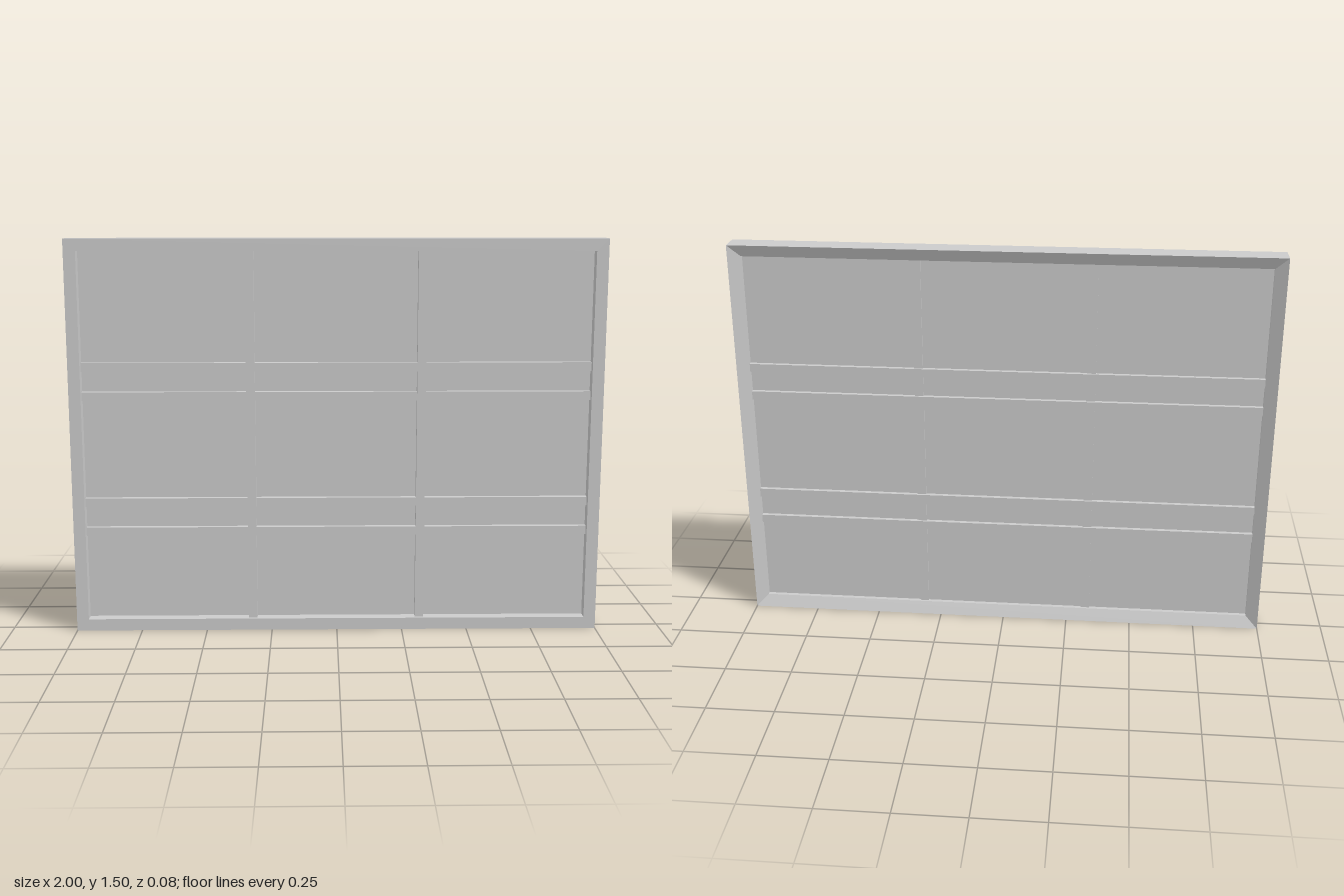
import * as THREE from 'three';

const W = 2, H = 1.495, RIM = 0.045, HALF_DEPTH = 0.042;

// Mitred rectangular frame: a closed [inset, z] profile swept round four corners
function mitredFrame(profile) {
  const corners = [[-1, 0], [1, 0], [1, 1], [-1, 1]];
  const point = (c, p) => {
    const [sx, top] = corners[c % 4];
    const [inset, z] = profile[p % profile.length];
    return [sx * (W / 2 - inset), top ? H - inset : inset, z];
  };
  const positions = [];
  for (let c = 0; c < 4; c++) {
    for (let p = 0; p < profile.length; p++) {
      const a = point(c, p), b = point(c + 1, p);
      const d = point(c, p + 1), e = point(c + 1, p + 1);
      positions.push(...a, ...d, ...e, ...a, ...e, ...b);
    }
  }
  const geometry = new THREE.BufferGeometry();
  geometry.setAttribute('position', new THREE.Float32BufferAttribute(positions, 3));
  geometry.computeVertexNormals();
  return geometry;
}

export function createModel() {
  const group = new THREE.Group();
  const material = new THREE.MeshStandardMaterial({ color: 0xcccccc, flatShading: true });

  const add = (name, geometry) => {
    const mesh = new THREE.Mesh(geometry, material);
    mesh.name = name;
    group.add(mesh);
    return mesh;
  };
  // Box given by its limits on each axis
  const addBox = (name, [x0, x1], [y0, y1], [z0, z1]) =>
    add(name, new THREE.BoxGeometry(x1 - x0, y1 - y0, z1 - z0))
      .position.set((x0 + x1) / 2, (y0 + y1) / 2, (z0 + z1) / 2);

  // Outer frame, square at the front and sloping inward at the back
  add('frame', mitredFrame([
    [0, HALF_DEPTH], [0, -HALF_DEPTH], [RIM, -0.021], [RIM, HALF_DEPTH],
  ]));

  const innerX = [-W / 2 + RIM, W / 2 - RIM];
  const innerY = [RIM, H - RIM];

  // Thin panel filling the opening
  addBox('panel', innerX, innerY, [-0.006, 0]);

  // Upright bars stand proud at the front
  for (const x of [-0.323, 0.318])
    addBox('verticalBar', [x - 0.0165, x + 0.0165], innerY, [-0.013, 0.028]);

  // Paired cross bars stand proud at the back
  for (const y of [0.387, 0.501, 0.909, 1.019])
    addBox('horizontalBar', innerX, [y - 0.0165, y + 0.0165], [-0.021, 0.02]);

  return group;
}
